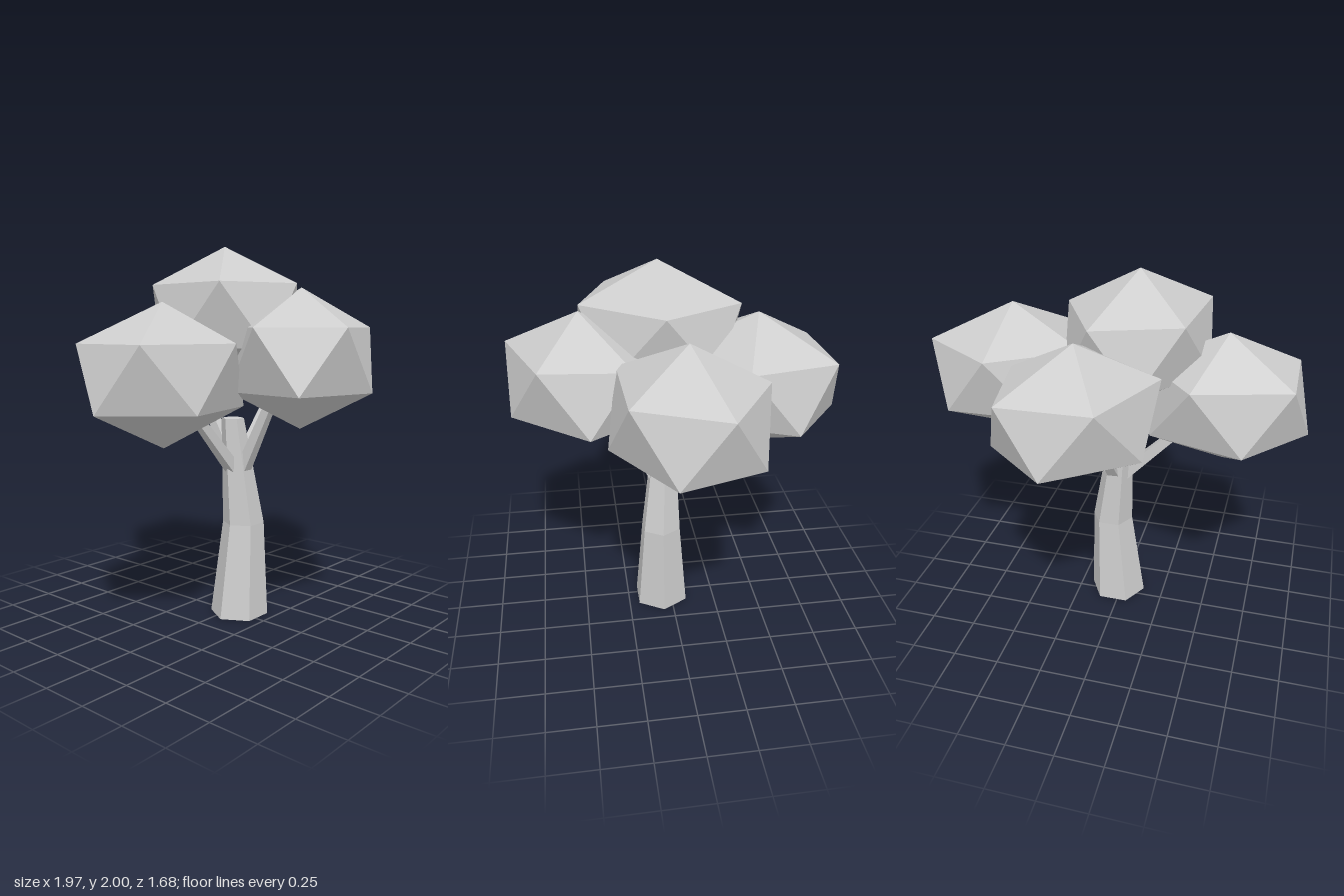
import * as THREE from 'three';

const grey = new THREE.MeshStandardMaterial({ color: 0xcccccc, flatShading: true });
grey.name = 'light grey';

function add(group, name, geometry) {
  const flat = geometry.index ? geometry.toNonIndexed() : geometry;
  flat.computeVertexNormals();
  const mesh = new THREE.Mesh(flat, grey);
  mesh.name = name;
  group.add(mesh);
  return mesh;
}

// Six-sided trunk in two bent, tapering sections
function trunkGeometry() {
  const rings = [
    { r: 0.16, x: 0.025, y: 0, z: 0.055 },
    { r: 0.115, x: 0.058, y: 0.515, z: 0.057 },
    { r: 0.062, x: 0, y: 1.1, z: 0.028 },
  ];
  const geo = new THREE.CylinderGeometry(1, 1, 2, 6, 2, false, Math.PI / 6);
  const p = geo.attributes.position;
  for (let i = 0; i < p.count; i++) {
    const ring = rings[Math.round(p.getY(i)) + 1];
    p.setXYZ(i, p.getX(i) * ring.r + ring.x, ring.y, p.getZ(i) * ring.r + ring.z);
  }
  return geo;
}

// Square tapering branch between two points
function addBranch(group, name, from, to) {
  const a = new THREE.Vector3(...from);
  const b = new THREE.Vector3(...to);
  const dir = b.clone().sub(a);
  const geo = new THREE.CylinderGeometry(0.026, 0.045, dir.length(), 4, 1, false, Math.PI / 4);
  const mesh = add(group, name, geo);
  mesh.position.copy(a).add(b).multiplyScalar(0.5);
  mesh.quaternion.setFromUnitVectors(new THREE.Vector3(0, 1, 0), dir.normalize());
}

// Flattened icosahedron standing on one corner
function addFoliage(group, name, position, turn) {
  const geo = new THREE.IcosahedronGeometry(1, 0);
  geo.rotateZ(-Math.atan(2 / (1 + Math.sqrt(5))));
  geo.scale(0.487, 0.355, 0.412);
  const mesh = add(group, name, geo);
  mesh.position.set(...position);
  mesh.rotation.y = turn;
}

export function createModel() {
  const tree = new THREE.Group();
  tree.name = 'tree';

  add(tree, 'trunk', trunkGeometry());

  addBranch(tree, 'rightBranch', [0, 0.81, 0.04], [-0.45, 1.27, 0.05]);
  addBranch(tree, 'leftBranch', [0.05, 0.83, 0.04], [0.47, 1.32, 0]);
  addBranch(tree, 'frontBranch', [0.022, 0.79, 0.07], [0.02, 1.37, 0.36]);
  addBranch(tree, 'backBranch', [0.03, 0.8, 0.03], [0.09, 1.35, -0.35]);

  // Each clump is turned a little further than the one before
  const clumps = [
    ['rightFoliage', [-0.55, 1.355, 0.05]],
    ['leftFoliage', [0.57, 1.44, -0.01]],
    ['frontFoliage', [0.02, 1.43, 0.46]],
    ['backFoliage', [0.11, 1.417, -0.435]],
    ['topFoliage', [-0.09, 1.646, 0.05]],
  ];
  clumps.forEach(([name, position], i) => addFoliage(tree, name, position, i * 0.3));

  return tree;
}
